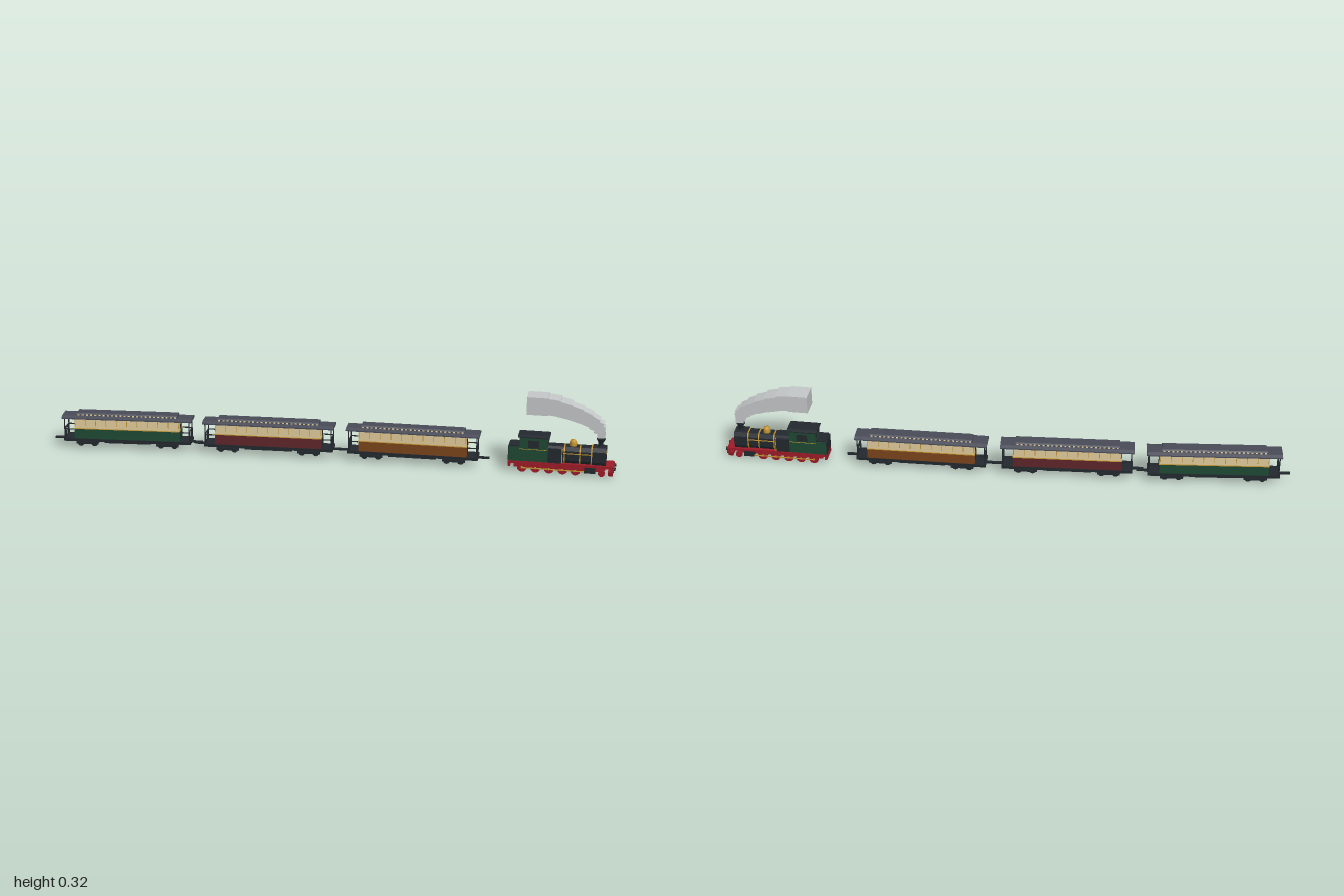
import * as THREE from 'three';

const mat = (name, color) => Object.assign(new THREE.MeshStandardMaterial({ color }), { name });
const M = {
  roof: mat('slate roof', 0x4a4d59), black: mat('dark iron', 0x23292f), green: mat('dark green', 0x1f4a34),
  maroon: mat('maroon', 0x60262a), brown: mat('brown', 0x7c451b), cream: mat('cream', 0xe2cd9c),
  gold: mat('gold', 0xc4952f), red: mat('red', 0xa01c28), smoke: mat('smoke grey', 0xc6c9ca),
};

function add(parent, name, geo, material, x = 0, y = 0, z = 0) {
  const m = new THREE.Mesh(geo, material);
  m.name = name;
  m.position.set(x, y, z);
  parent.add(m);
  return m;
}
// box given by its centre
const box = (p, name, material, w, h, d, x, y, z) =>
  add(p, name, new THREE.BoxGeometry(w, h, d), material, x, y, z);

// symmetric cross-section (right half, bottom to top) extruded along z, centred at z
function prism(p, name, material, half, len, z = 0) {
  const pts = [...half, ...half.slice().reverse().map(([x, y]) => [-x, y])];
  const shape = new THREE.Shape(pts.map(([x, y]) => new THREE.Vector2(x, y)));
  const geo = new THREE.ExtrudeGeometry(shape, { depth: len, bevelEnabled: false });
  return add(p, name, geo, material, 0, 0, z - len / 2);
}

// axle-aligned disc
function wheel(p, name, material, r, w, x, y, z) {
  const geo = new THREE.CylinderGeometry(r, r, w, 12).rotateZ(Math.PI / 2);
  return add(p, name, geo, material, x, y, z);
}

function placed(name, x, z, degrees) {
  const g = new THREE.Group();
  g.name = name;
  g.position.set(x, 0, z);
  g.rotation.y = THREE.MathUtils.degToRad(degrees);
  return g;
}

function carriage(name, paint, x, z, degrees) {
  const g = placed(name, x, z, degrees);
  const L = 0.45, W = 0.074;
  // frame and body
  box(g, 'underframe', M.black, 0.078, 0.012, 0.545, 0, 0.041, 0);
  box(g, 'lowerBody', paint, W, 0.044, L, 0, 0.069, 0);
  box(g, 'upperBody', M.cream, W - 0.002, 0.044, L - 0.002, 0, 0.113, 0);
  box(g, 'waistTrim', M.gold, W + 0.003, 0.003, L + 0.003, 0, 0.091, 0);
  box(g, 'eaveTrim', M.gold, W + 0.002, 0.002, L + 0.002, 0, 0.134, 0);
  // window pillars
  for (const s of [-1, 1]) {
    for (let i = 0; i <= 10; i++)
      box(g, 'windowPillar', M.gold, 0.002, 0.03, 0.0025, s * 0.0365, 0.119, -0.222 + i * 0.0444);
    box(g, 'endDoor', M.black, 0.02, 0.066, 0.002, 0, 0.084, s * (L / 2 + 0.0005));
    box(g, 'trussRail', M.black, 0.004, 0.008, 0.2, s * 0.03, 0.032, 0);
  }
  // roof with raised centre section
  prism(g, 'roof', M.roof, [[0.0435, 0.134], [0.0435, 0.139], [0.03, 0.146]], 0.555);
  prism(g, 'raisedRoof', M.roof, [[0.025, 0.145], [0.025, 0.151], [0.028, 0.152], [0.024, 0.157]], 0.43);
  for (const s of [-1, 1])
    for (let i = 0; i < 24; i++)
      box(g, 'roofLight', M.cream, 0.006, 0.004, 0.008, s * 0.0265, 0.149, -0.207 + i * 0.018);
  // end platforms
  for (const e of [-1, 1]) {
    for (const s of [-1, 1]) {
      box(g, 'platformPost', M.black, 0.004, 0.09, 0.004, s * 0.036, 0.09, e * 0.267);
      box(g, 'sideRail', M.black, 0.003, 0.004, 0.04, s * 0.036, 0.088, e * 0.247);
      for (const k of [0.012, 0.024])
        box(g, 'railing', M.black, 0.002, 0.044, 0.003, s * k, 0.067, e * 0.267);
    }
    box(g, 'endRail', M.black, 0.074, 0.004, 0.004, 0, 0.089, e * 0.267);
    box(g, 'coupler', M.black, 0.01, 0.008, 0.055, 0, 0.038, e * 0.29);
    // wheel sets
    const b = e * 0.172;
    box(g, 'bogieFrame', M.black, 0.05, 0.014, 0.09, 0, 0.03, b);
    for (const s of [-1, 1]) {
      box(g, 'bogieSide', M.black, 0.006, 0.01, 0.095, s * 0.035, 0.028, b);
      for (const k of [-1, 1])
        wheel(g, 'carriageWheel', M.black, 0.014, 0.008, s * 0.028, 0.026, b + k * 0.029);
    }
  }
  return g;
}

function locomotive() {
  const g = placed('locomotive', 0.518, 0.782, 30.5);
  // frame
  box(g, 'runningBoard', M.red, 0.079, 0.011, 0.425, 0, 0.042, 0.008);
  box(g, 'innerFrame', M.red, 0.04, 0.022, 0.37, 0, 0.026, 0);
  box(g, 'bufferBeam', M.red, 0.08, 0.025, 0.012, 0, 0.033, 0.218);
  box(g, 'rearBeam', M.red, 0.078, 0.022, 0.01, 0, 0.034, -0.203);
  prism(g, 'cowcatcher', M.red, [[0.034, 0.006], [0.038, 0.024]], 0.02, 0.211);
  for (const s of [-1, 1]) {
    const buffer = add(g, 'buffer', new THREE.CylinderGeometry(0.007, 0.007, 0.01, 10), M.black, s * 0.026, 0.035, 0.226);
    buffer.rotation.x = Math.PI / 2;
    // running gear
    for (const z of [-0.15, -0.095, -0.04, 0.015, 0.07]) {
      wheel(g, 'drivingWheel', M.red, 0.02, 0.01, s * 0.031, 0.02, z);
      wheel(g, 'wheelHub', M.gold, 0.005, 0.003, s * 0.037, 0.02, z);
    }
    wheel(g, 'leadingWheel', M.red, 0.014, 0.008, s * 0.03, 0.014, 0.175);
    box(g, 'couplingRod', M.gold, 0.003, 0.004, 0.27, s * 0.0385, 0.019, -0.02);
    box(g, 'cylinder', M.black, 0.016, 0.024, 0.045, s * 0.034, 0.026, 0.128);
  }
  // boiler
  prism(g, 'boiler', M.black, [[0.024, 0.047], [0.03, 0.06], [0.03, 0.1], [0.02, 0.116]], 0.19, 0.045);
  prism(g, 'smokebox', M.black, [[0.029, 0.047], [0.034, 0.06], [0.034, 0.104], [0.024, 0.12]], 0.055, 0.163);
  for (const z of [0.02, 0.085, 0.132])
    prism(g, 'boilerBand', M.gold, [[0.025, 0.047], [0.0315, 0.06], [0.0315, 0.101], [0.021, 0.118]], 0.005, z);
  box(g, 'frontPlate', M.gold, 0.022, 0.013, 0.003, 0, 0.098, 0.191);
  for (const s of [-1, 1]) {
    box(g, 'sideTank', M.black, 0.012, 0.06, 0.055, s * 0.032, 0.077, -0.018);
    box(g, 'tankTrim', M.gold, 0.0125, 0.06, 0.003, s * 0.0322, 0.077, 0.011);
    box(g, 'handrail', M.gold, 0.003, 0.003, 0.12, s * 0.032, 0.09, 0.075);
  }
  // chimney, dome and whistle stand
  const chimney = [[0.012, 0], [0.01, 0.006], [0.01, 0.02], [0.018, 0.034], [0.018, 0.04], [0, 0.04]];
  add(g, 'chimney', new THREE.LatheGeometry(chimney.map(p => new THREE.Vector2(...p)), 10), M.black, 0, 0.117, 0.166);
  const dome = [[0.015, 0], [0.015, 0.015], [0.011, 0.025], [0, 0.029]];
  add(g, 'dome', new THREE.LatheGeometry(dome.map(p => new THREE.Vector2(...p)), 10), M.gold, 0, 0.115, 0.055);
  // cab
  box(g, 'cab', M.green, 0.076, 0.102, 0.115, 0, 0.099, -0.105);
  prism(g, 'cabRoof', M.black, [[0.042, 0.149], [0.042, 0.153], [0.028, 0.159]], 0.128, -0.105);
  for (const s of [-1, 1]) {
    box(g, 'cabSideWindow', M.black, 0.002, 0.032, 0.045, s * 0.0382, 0.122, -0.105);
    box(g, 'cabTrim', M.gold, 0.002, 0.002, 0.115, s * 0.0382, 0.1, -0.105);
    box(g, 'cabFrontWindow', M.black, 0.016, 0.02, 0.002, s * 0.025, 0.133, -0.0472);
    box(g, 'cabRearWindow', M.black, 0.018, 0.02, 0.002, s * 0.022, 0.133, -0.1628);
  }
  // coal bunker
  box(g, 'bunker', M.green, 0.076, 0.06, 0.045, 0, 0.077, -0.184);
  box(g, 'coal', M.black, 0.068, 0.008, 0.04, 0, 0.109, -0.184);
  box(g, 'bunkerBack', M.black, 0.074, 0.06, 0.003, 0, 0.078, -0.207);
  // smoke trail: position along engine, height, size, tilt
  const puffs = [
    [0.166, 0.174, 0.03, 0], [0.16, 0.195, 0.038, 0.2], [0.147, 0.212, 0.046, 0.35], [0.125, 0.23, 0.052, 0.45],
    [0.092, 0.247, 0.058, 0.4], [0.052, 0.262, 0.064, 0.3], [0.005, 0.276, 0.07, 0.2], [-0.045, 0.286, 0.074, 0.1],
    [-0.095, 0.287, 0.08, 0],
  ];
  for (const [z, y, s, tilt] of puffs)
    box(g, 'smokePuff', M.smoke, s * 1.05, s * 0.94, s * 1.08, 0, y, z).rotation.x = tilt;
  return g;
}

export function createModel() {
  const train = new THREE.Group();
  train.name = 'steamTrain';
  train.add(
    locomotive(),
    carriage('brownCarriage', M.brown, 0.203, 0.266, 32),
    carriage('maroonCarriage', M.maroon, -0.129, -0.244, 34.2),
    carriage('greenCarriage', M.green, -0.468, -0.745, 36),
  );
  return train;
}
